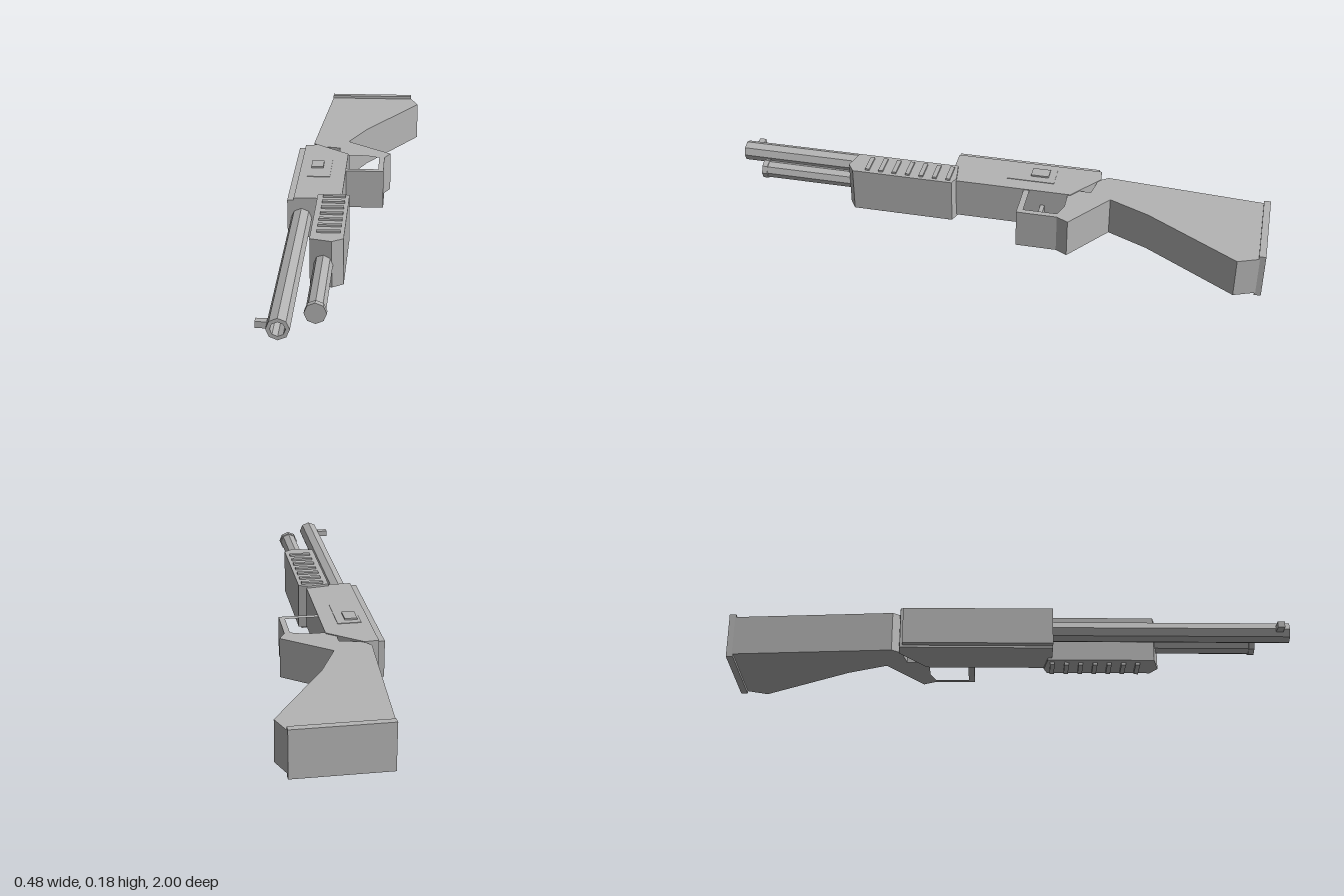
import * as THREE from 'three';

const MID = 0.092; // height of the centre plane

export function createModel() {
  const model = new THREE.Group();
  const grey = new THREE.MeshStandardMaterial({ color: 0xb4b4b4 });
  grey.name = 'plain grey';

  const add = (name, geometry, x = 0, y = 0, z = 0) => {
    const flat = geometry.index ? geometry.toNonIndexed() : geometry;
    flat.computeVertexNormals();
    const mesh = new THREE.Mesh(flat, grey);
    mesh.name = name;
    mesh.position.set(x, y, z);
    model.add(mesh);
    return mesh;
  };

  // Box given by its limits on each axis
  const box = (name, x0, x1, y0, y1, z0, z1) =>
    add(name, new THREE.BoxGeometry(x1 - x0, y1 - y0, z1 - z0),
      (x0 + x1) / 2, (y0 + y1) / 2, (z0 + z1) / 2);

  // Slab cut from an outline of [x, z] points, extruded upwards
  const toPoints = (pts) => pts.map(([x, z]) => new THREE.Vector2(x, -z));
  const slab = (name, pts, y0, y1, hole) => {
    const shape = new THREE.Shape(toPoints(pts));
    if (hole) shape.holes.push(new THREE.Path(toPoints(hole)));
    const g = new THREE.ExtrudeGeometry(shape, { depth: y1 - y0, bevelEnabled: false });
    return add(name, g.rotateX(-Math.PI / 2), 0, y0, 0);
  };

  // Eight-sided rod along z
  const octagon = (r) => Array.from({ length: 8 }, (_, i) =>
    new THREE.Vector2(r * Math.cos(i * Math.PI / 4), r * Math.sin(i * Math.PI / 4)));
  const rod = (name, x, r, z0, z1, bore) => {
    const shape = new THREE.Shape(octagon(r));
    if (bore) shape.holes.push(new THREE.Path(octagon(bore)));
    const g = new THREE.ExtrudeGeometry(shape, { depth: z1 - z0, bevelEnabled: false });
    return add(name, g, x, MID, z0);
  };

  // Barrel, sight and lower tube
  rod('barrel', -0.168, 0.037, 0.15, 1, 0.024);
  box('frontSight', -0.24, -0.203, 0.081, 0.103, 0.95, 0.975);
  rod('lowerTube', -0.063, 0.032, 0.5, 0.875);
  rod('lowerTubeCap', -0.063, 0.036, 0.872, 0.892);

  // Sliding grip with raised ribs on both faces
  slab('slidingGrip', [[-0.11, 0.145], [-0.11, 0.525], [-0.035, 0.545], [0.003, 0.52],
    [0.003, 0.145], [-0.03, 0.133]], 0.01, 0.177);
  for (let i = 0; i < 7; i++) {
    const z = 0.162 + i * 0.051;
    box('gripRibTop', -0.09, -0.01, 0.17, 0.184, z - 0.008, z + 0.008);
    box('gripRibBottom', -0.09, -0.01, 0, 0.014, z - 0.008, z + 0.008);
  }

  // Receiver with rail, side panel and button
  slab('receiver', [[-0.195, -0.38], [-0.195, 0.16], [-0.1, 0.16], [-0.025, 0.14],
    [-0.025, -0.29], [-0.145, -0.385]], 0.017, 0.169);
  box('receiverRail', -0.218, -0.19, 0.025, 0.16, -0.37, 0.16);
  box('sidePanel', -0.165, -0.08, 0.165, 0.171, -0.22, -0.045);
  box('sideButton', -0.155, -0.11, 0.165, 0.177, -0.195, -0.13);

  // Stock, running into the trigger guard
  slab('stockAndGuard', [[-0.165, -0.41], [-0.125, -0.98], [0.208, -0.98], [0.237, -0.905],
    [0.035, -0.58], [-0.03, -0.435], [0.137, -0.307], [0.115, -0.265], [0.115, -0.118],
    [-0.06, -0.118], [-0.06, -0.36], [-0.14, -0.375]], 0.02, 0.166,
  [[-0.04, -0.28], [0.045, -0.28], [0.095, -0.262], [0.095, -0.14], [-0.04, -0.14]]);
  box('buttPlate', -0.125, 0.208, 0.01, 0.177, -1, -0.976);
  box('trigger', -0.03, 0.052, MID - 0.016, MID + 0.016, -0.197, -0.181);

  return model;
}
